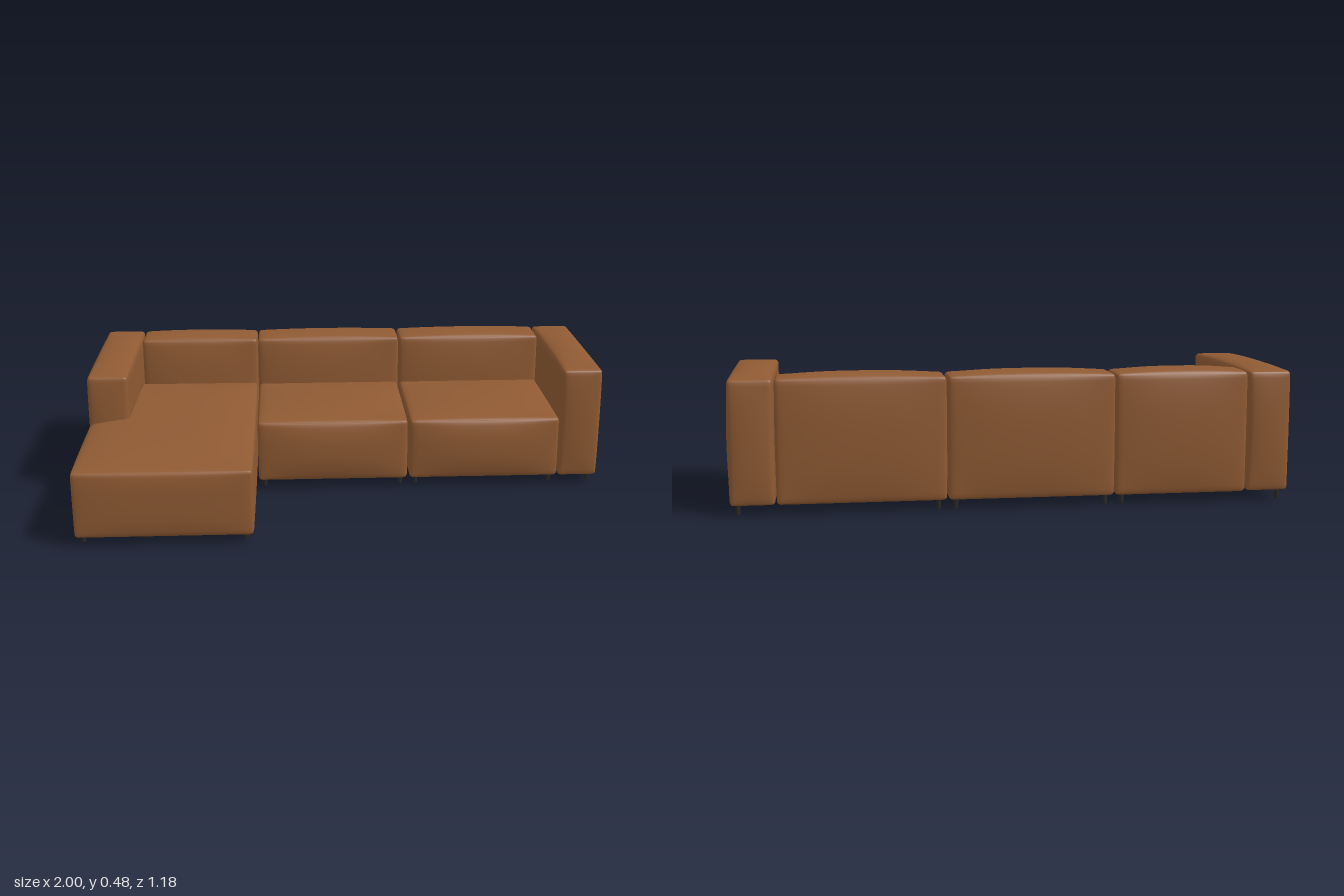
import * as THREE from 'three';
import { mergeVertices } from 'three/addons/utils/BufferGeometryUtils.js';

// Padded block: a softly rounded box whose sides swell outward.
// min/max are the seam corners; bulge gives the swelling of each side.
function cushionGeometry(min, max, bulge, power) {
  const h = max.map((m, i) => (m - min[i]) / 2);
  const c = max.map((m, i) => (m + min[i]) / 2);
  const r = 0.014;
  const n = 20;
  let geo = new THREE.BoxGeometry(2, 2, 2, n, n, n);
  geo.deleteAttribute('uv');
  geo.deleteAttribute('normal');
  geo = mergeVertices(geo, 1e-5);
  const pos = geo.attributes.position;
  const p = new THREE.Vector3(), inner = new THREE.Vector3(), d = new THREE.Vector3();
  const dome = (a, b) => Math.max(0, (1 - Math.abs(a) ** power) * (1 - Math.abs(b) ** power));
  for (let i = 0; i < pos.count; i++) {
    // gather the grid lines near the edges
    const q = [pos.getX(i), pos.getY(i), pos.getZ(i)].map((v) => Math.sin((v * Math.PI) / 2));
    p.set(q[0] * h[0], q[1] * h[1], q[2] * h[2]);
    inner.set(...h.map((s, k) => THREE.MathUtils.clamp(p.getComponent(k), r - s, s - r)));
    d.subVectors(p, inner);
    if (d.length() > 1e-6) p.copy(inner).add(d.setLength(r));
    // swell each side
    const x = q[0] > 0 ? bulge.left : -bulge.right;
    const y = q[1] > 0 ? bulge.top : 0;
    const z = q[2] > 0 ? bulge.front : -bulge.back;
    p.x += x * Math.abs(q[0]) * dome(q[1], q[2]);
    p.y += y * Math.abs(q[1]) * dome(q[0], q[2]);
    p.z += z * Math.abs(q[2]) * dome(q[0], q[1]);
    pos.setXYZ(i, p.x + c[0], p.y + c[1], p.z + c[2]);
  }
  geo.computeVertexNormals();
  return geo;
}

export function createModel() {
  const group = new THREE.Group();
  group.name = 'sectionalSofa';

  const leather = new THREE.MeshStandardMaterial({ color: 0x8f5a33 });
  leather.name = 'brown leather';
  const dark = new THREE.MeshStandardMaterial({ color: 0x2a2826 });
  dark.name = 'dark leg';

  const add = (name, geometry, material) => {
    const mesh = new THREE.Mesh(geometry, material);
    mesh.name = name;
    group.add(mesh);
  };
  const cushion = (name, min, max, bulge, power = 2.5) =>
    add(name, cushionGeometry(min, max, { left: 0.004, right: 0.004, top: 0.015, front: 0.012, back: 0.012, ...bulge }, power), leather);

  const base = 0.035;
  const backTop = 0.466;

  // Arms
  cushion('leftArm', [0.828, base, -0.58], [0.98, backTop, 0.078], { left: 0.019 });
  cushion('rightArm', [-0.98, base + 0.002, -0.58], [-0.828, backTop, 0.078], { right: 0.019 });

  // Backrests
  [[-0.823, -0.35], [-0.346, 0.237], [0.243, 0.823]].forEach(([x0, x1], i) =>
    cushion(`backrest${i + 1}`, [x0, base, -0.578], [x1, backTop, -0.42], { front: 0.02, back: 0.017 }));

  // Seats
  [[-0.344, 0.234], [0.244, 0.823]].forEach(([x0, x1], i) =>
    cushion(`seat${i + 1}`, [x0, base, -0.425], [x1, 0.275, 0.078], { top: 0.021, front: 0.022, back: 0 }));

  // Chaise running forward beside the seats
  cushion('chaise', [-0.978, base, -0.425], [-0.352, 0.28, 0.578],
    { top: 0.025, right: 0.012, front: 0.011, back: 0 }, 3.5);

  // Legs
  const legHeight = 0.045;
  const legs = [
    [0.955, 0.03], [0.955, -0.54], [0.8, 0.03],
    [0.27, 0.03], [0.27, -0.54], [0.21, 0.03], [0.21, -0.54],
    [-0.32, 0.03], [-0.32, -0.54], [-0.38, -0.54],
    [-0.38, 0.52], [-0.955, 0.52], [-0.955, -0.54],
  ];
  const legGeo = new THREE.CylinderGeometry(0.009, 0.008, legHeight, 16);
  legGeo.translate(0, legHeight / 2, 0);
  legs.forEach(([x, z], i) => add(`leg${i + 1}`, legGeo.clone().translate(x, 0, z), dark));

  return group;
}
